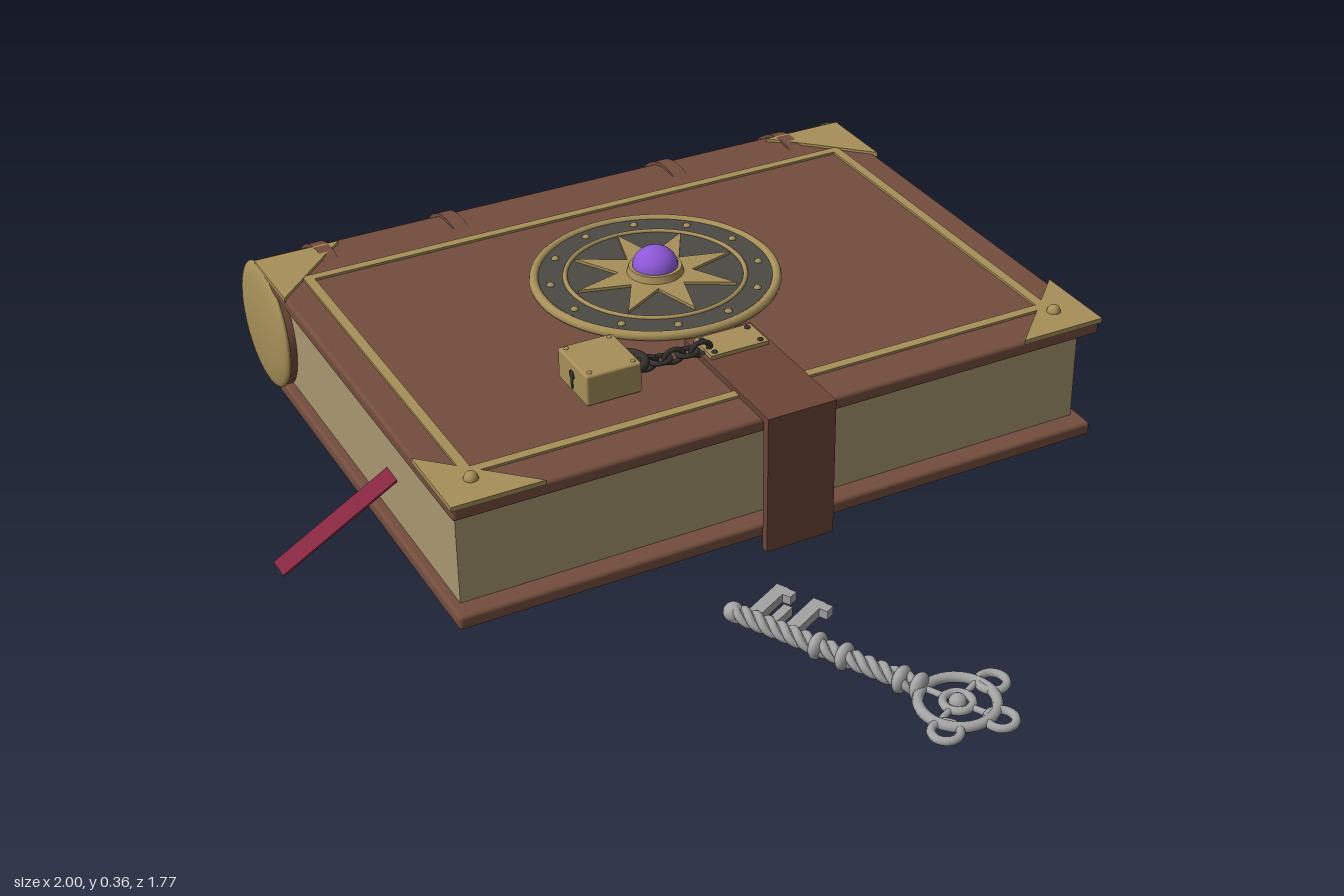
import * as THREE from 'three';
import { RoundedBoxGeometry } from 'three/addons/geometries/RoundedBoxGeometry.js';

const mat = (name, color) => Object.assign(new THREE.MeshStandardMaterial({ color }), { name });

export function createModel() {
  const leather = mat('leather', 0x734d3d), strapLeather = mat('strap leather', 0x6b4536);
  const paper = mat('paper', 0xa8966f), gold = mat('old gold', 0xa68f58);
  const iron = mat('dark iron', 0x4b4943), black = mat('blackened steel', 0x32312f);
  const purple = mat('purple gem', 0x8c57d6), steel = mat('steel', 0xa3a3a3);
  const red = mat('ribbon red', 0x85263f);

  const model = new THREE.Group();
  const add = (parent, name, geo, material, x = 0, y = 0, z = 0) => {
    const m = new THREE.Mesh(geo, material);
    m.name = name;
    m.position.set(x, y, z);
    parent.add(m);
    return m;
  };
  const box = (w, h, d) => new THREE.BoxGeometry(w, h, d);
  const flatRing = (R, r, seg = 48, arc = Math.PI * 2) =>
    new THREE.TorusGeometry(R, r, 10, seg, arc).rotateX(Math.PI / 2);
  const plate = (shape, depth) =>
    new THREE.ExtrudeGeometry(shape, { depth, bevelEnabled: false }).rotateX(-Math.PI / 2);
  const dome = (r, h) => new THREE.SphereGeometry(r, 20, 10, 0, Math.PI * 2, 0, Math.PI / 2).scale(1, h / r, 1);

  // Book, turned on the table
  const book = new THREE.Group();
  book.name = 'book';
  book.position.set(-0.245, 0, -0.05);
  book.rotation.y = -0.315;
  model.add(book);

  add(book, 'pages', box(0.93, 0.22, 1.34), paper, 0.063, 0.15, 0);
  add(book, 'topCover', new RoundedBoxGeometry(1.0, 0.03, 1.38, 2, 0.008), leather, 0.07, 0.269, 0);
  add(book, 'bottomCover', new RoundedBoxGeometry(1.0, 0.03, 1.38, 2, 0.008), leather, 0.07, 0.033, 0);

  // Round spine with raised bands and domed end caps
  const sx = -0.43, sy = 0.15;
  add(book, 'spine', new THREE.CylinderGeometry(0.134, 0.134, 1.38, 48).rotateX(Math.PI / 2), leather, sx, sy, 0);
  for (const z of [-0.55, -0.26, 0.26, 0.55])
    add(book, 'spineBand', new THREE.CylinderGeometry(0.141, 0.141, 0.032, 48).rotateX(Math.PI / 2), leather, sx, sy, z);
  for (const s of [-1, 1])
    add(book, 'spineCap', new THREE.SphereGeometry(0.136, 40, 20).scale(1, 1, 0.15), gold, sx, sy, s * 0.688);

  // Gold border on the cover
  const border = new THREE.Shape([[-0.34, -0.63], [0.485, -0.63], [0.485, 0.63], [-0.34, 0.63]].map(p => new THREE.Vector2(...p)));
  border.holes.push(new THREE.Path([[-0.32, -0.61], [-0.32, 0.61], [0.465, 0.61], [0.465, -0.61]].map(p => new THREE.Vector2(...p))));
  add(book, 'coverBorder', plate(border, 0.006), gold, 0, 0.283, 0);

  // Corner plates with studs on the open side
  for (const s of [-1, 1]) {
    for (const [cx, d] of [[0.573, -1], [-0.45, 1]]) {
      const tri = new THREE.Shape();
      tri.moveTo(cx, s * 0.693);
      tri.lineTo(cx + d * 0.18, s * 0.693);
      tri.lineTo(cx, s * 0.51);
      add(book, 'cornerPlate', plate(tri, 0.01), gold, 0, 0.28, 0);
    }
    add(book, 'cornerStud', dome(0.014, 0.016), gold, 0.505, 0.289, s * 0.625);
  }

  // Medallion with star and gem
  const medal = new THREE.Group();
  medal.name = 'medallion';
  medal.position.set(0, 0.284, 0);
  book.add(medal);
  add(medal, 'disc', new THREE.CylinderGeometry(0.25, 0.25, 0.012, 64), iron, 0, 0.006, 0);
  add(medal, 'outerRing', flatRing(0.246, 0.01, 64), gold, 0, 0.008, 0);
  add(medal, 'innerRing', flatRing(0.183, 0.005, 64), gold, 0, 0.012, 0);
  const star = new THREE.Shape();
  for (let i = 0; i < 16; i++) {
    const a = i * Math.PI / 8, r = i % 2 ? 0.075 : 0.172;
    star[i ? 'lineTo' : 'moveTo'](r * Math.cos(a), r * Math.sin(a));
  }
  add(medal, 'star', plate(star, 0.008), gold, 0, 0.01, 0);
  for (let i = 0; i < 12; i++) {
    const a = (i + 0.5) * Math.PI / 6;
    add(medal, 'rivet', dome(0.008, 0.006), gold, 0.215 * Math.cos(a), 0.012, 0.215 * Math.sin(a));
  }
  add(medal, 'gemCollar', new THREE.CylinderGeometry(0.054, 0.06, 0.02, 40), gold, 0, 0.022, 0);
  add(medal, 'gem', dome(0.047, 0.042), purple, 0, 0.03, 0);

  // Strap over the fore edge and its hasp plate
  add(book, 'strapTop', box(0.33, 0.014, 0.145), strapLeather, 0.43, 0.289, 0);
  add(book, 'strapSide', box(0.017, 0.296, 0.145), strapLeather, 0.5865, 0.148, 0);
  add(book, 'haspPlate', box(0.075, 0.009, 0.125), gold, 0.32, 0.3, 0);
  for (const x of [-1, 1]) for (const z of [-1, 1])
    add(book, 'haspRivet', dome(0.006, 0.005), black, 0.32 + x * 0.026, 0.304, z * 0.05);

  // Chain of alternating links
  for (let i = 0; i < 5; i++) {
    const link = new THREE.TorusGeometry(0.014, 0.005, 8, 20).scale(1.4, 1, 1);
    link.rotateY(Math.PI / 2);
    if (i % 2) link.rotateZ(Math.PI / 2);
    add(book, 'chainLink', link, black, 0.327, 0.308, 0.07 + i * 0.029);
  }

  // Padlock lying on the cover
  const lock = new THREE.Group();
  lock.name = 'padlock';
  lock.position.set(0.323, 0.32, 0.282);
  book.add(lock);
  add(lock, 'lockBody', new RoundedBoxGeometry(0.125, 0.065, 0.115, 2, 0.005), gold);
  add(lock, 'shackle', flatRing(0.036, 0.009, 24, Math.PI).rotateY(0).scale(1, 1, -1.1).scale(1, 1, 1), black, 0, 0, -0.055).material = black;
  const shackle = lock.children[1];
  shackle.geometry = new THREE.TorusGeometry(0.036, 0.009, 10, 24, Math.PI).rotateX(-Math.PI / 2);
  add(lock, 'keyholeRound', new THREE.CylinderGeometry(0.01, 0.01, 0.004, 20).rotateX(Math.PI / 2), black, 0, 0.005, 0.057);
  add(lock, 'keyholeSlot', box(0.008, 0.026, 0.004), black, 0, -0.01, 0.057);
  for (const x of [-1, 1]) for (const z of [-1, 1])
    add(lock, 'lockRivet', dome(0.005, 0.004), gold, x * 0.05, 0.032, z * 0.045);

  // Ribbon hanging from the pages
  const ribbon = add(model, 'ribbon', box(0.05, 0.004, 0.3), red, -0.277, 0.085, 0.757);
  ribbon.lookAt(-0.315, 0.012, 0.88);

  // Key lying beside the book, its shaft along -x
  const key = new THREE.Group();
  key.name = 'key';
  key.position.set(0.885, 0.057, 0.363);
  key.rotation.y = 0.168;
  model.add(key);
  const rod = (r, len) => new THREE.CylinderGeometry(r, r, len, 20).rotateZ(Math.PI / 2);
  add(key, 'shaftCore', rod(0.011, 0.4), steel, -0.27, 0, 0);
  for (let k = 0; k < 3; k++) {
    const pts = [];
    for (let i = 0; i <= 60; i++) {
      const a = i * 0.5 + k * Math.PI * 2 / 3;
      pts.push(new THREE.Vector3(-0.455 + i * 0.0062, 0.011 * Math.cos(a), 0.011 * Math.sin(a)));
    }
    add(key, 'shaftTwist', new THREE.TubeGeometry(new THREE.CatmullRomCurve3(pts), 120, 0.008, 8), steel);
  }
  add(key, 'tip', new THREE.SphereGeometry(0.019, 16, 12), steel, -0.458, 0, 0);
  for (const x of [-0.28, -0.225, -0.11, -0.075])
    add(key, 'collar', new THREE.SphereGeometry(0.026, 20, 14).scale(0.55, 1, 1), steel, x, 0, 0);

  // Key teeth
  for (const [x, len] of [[-0.42, 0.105], [-0.342, 0.105]]) {
    add(key, 'tooth', box(0.026, 0.018, len), steel, x, 0, -len / 2);
    add(key, 'toothFoot', box(0.02, 0.018, 0.02), steel, x + 0.02, 0, -len + 0.012);
  }
  add(key, 'smallTooth', box(0.018, 0.018, 0.06), steel, -0.38, 0, -0.03);

  // Key bow with hub, spokes and three loops
  add(key, 'bow', flatRing(0.068, 0.01, 40), steel);
  add(key, 'bowHub', flatRing(0.026, 0.008, 24), steel);
  add(key, 'hubBead', new THREE.SphereGeometry(0.016, 16, 12), steel);
  for (let i = 0; i < 4; i++) {
    const a = i * Math.PI / 2;
    add(key, 'spoke', rod(0.006, 0.044), steel, 0.046 * Math.cos(a), 0, 0.046 * Math.sin(a)).rotation.y = -a;
  }
  for (const a of [-1.3, 0, 1.3])
    add(key, 'bowLoop', flatRing(0.025, 0.008, 24), steel, 0.084 * Math.cos(a), 0, 0.084 * Math.sin(a));

  return model;
}
